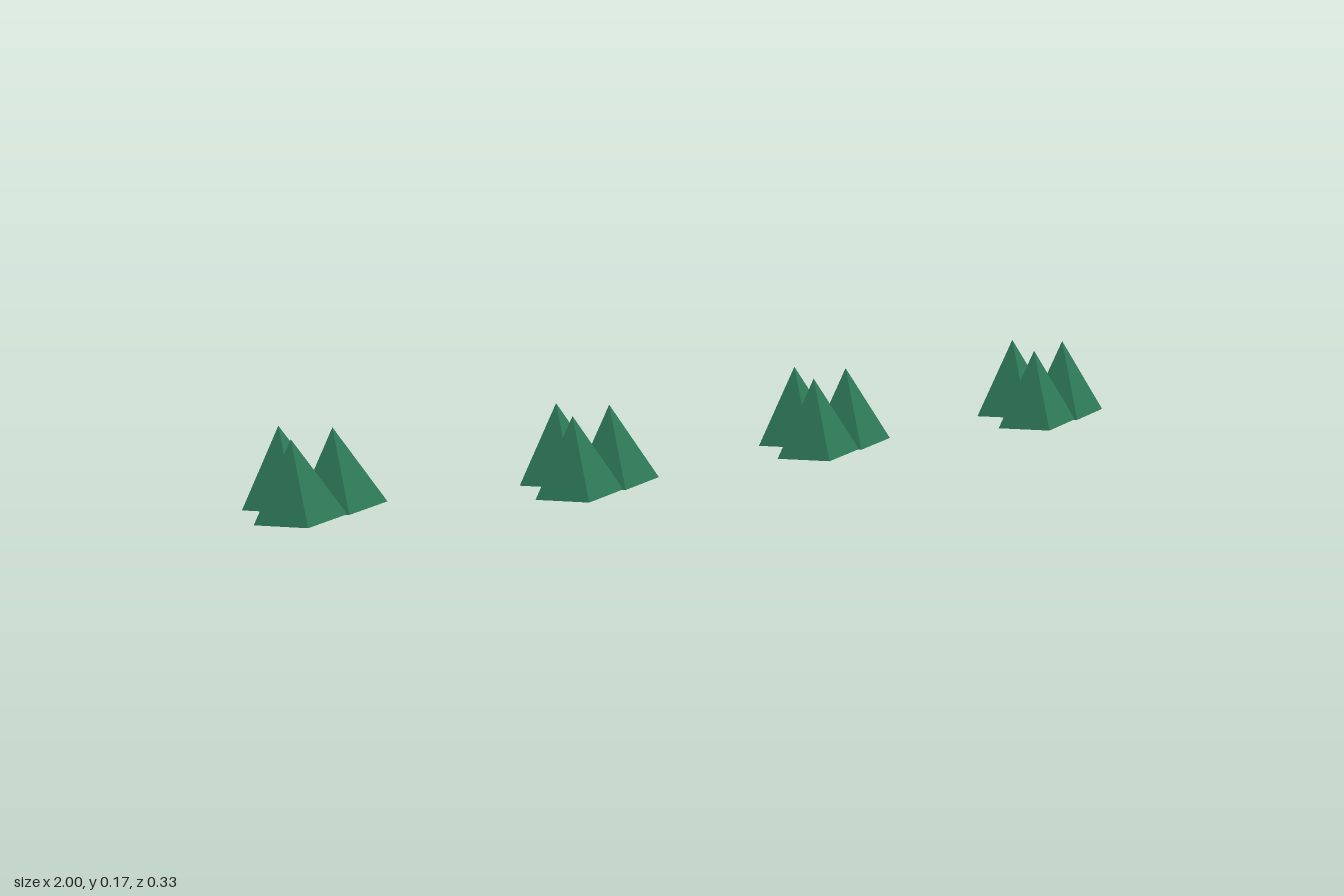
import * as THREE from 'three';

const HEIGHT = 0.171;
const HALF_X = 0.0965;
const HALF_Z = 0.0585;
const APEX_SHIFT = -0.0135;

// Four-sided spike on a diamond base, its tip leaning slightly to -x
function spikeGeometry() {
  const geo = new THREE.ConeGeometry(1, HEIGHT, 4, 1);
  geo.translate(0, HEIGHT / 2, 0);
  geo.scale(HALF_X, 1, HALF_Z);
  const pos = geo.attributes.position;
  for (let i = 0; i < pos.count; i++) {
    pos.setX(i, pos.getX(i) + APEX_SHIFT * (pos.getY(i) / HEIGHT));
  }
  geo.computeVertexNormals();
  return geo;
}

export function createModel() {
  const model = new THREE.Group();
  model.name = 'grassTufts';
  const material = new THREE.MeshStandardMaterial({ color: 0x2d7a58, flatShading: true });
  const geometry = spikeGeometry();

  // Spike centres inside a tuft: back, front and side
  const spikes = [
    ['backSpike', 0, -0.052],
    ['frontSpike', 0, 0.052],
    ['sideSpike', 0.099, 0],
  ];

  // Tuft positions (x, z) along the row
  const tufts = [[-0.902, 0.004], [-0.324, 0.056], [0.253, -0.024], [0.803, -0.054]];

  tufts.forEach(([x, z], i) => {
    const tuft = new THREE.Group();
    tuft.name = `tuft${i + 1}`;
    tuft.position.set(x, 0, z);
    for (const [name, sx, sz] of spikes) {
      const spike = new THREE.Mesh(geometry, material);
      spike.name = name;
      spike.position.set(sx, 0, sz);
      tuft.add(spike);
    }
    model.add(tuft);
  });
  return model;
}
